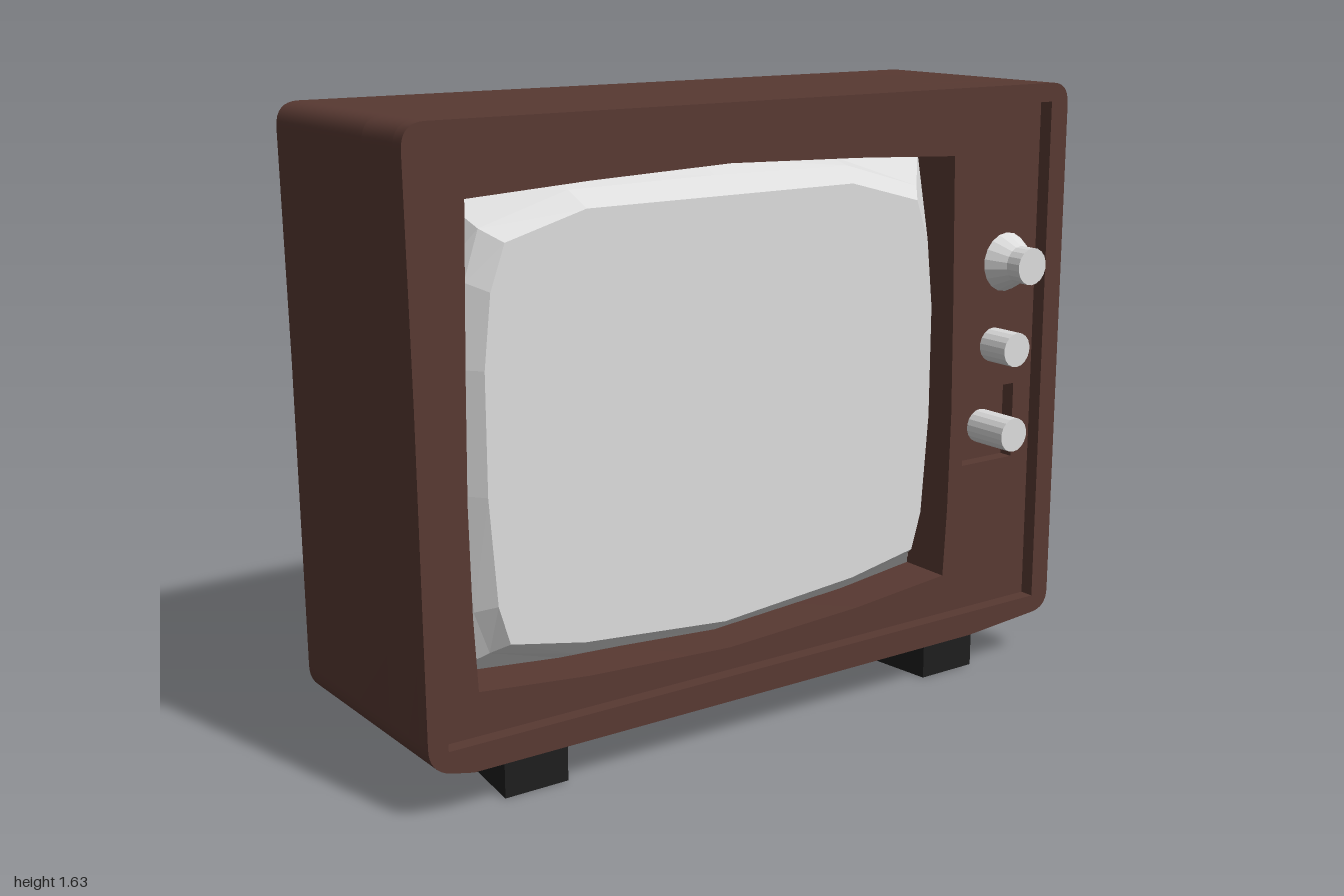
import * as THREE from 'three';
import { toCreasedNormals } from 'three/addons/utils/BufferGeometryUtils.js';

const wood = new THREE.MeshStandardMaterial({ color: 0x583932 });
wood.name = 'brown wood';
const grey = new THREE.MeshStandardMaterial({ color: 0xdcdcdc });
grey.name = 'light grey';
const black = new THREE.MeshStandardMaterial({ color: 0x1e1e1e });
black.name = 'black';

const SCREEN_X = -0.1;

// Right half of a tube cross-section, mirrored into a full clockwise ring
function ring(half) {
  const left = half.slice(1, -1).reverse().map(([u, y]) => [-u, y]);
  return [...half, ...left].map(([u, y]) => new THREE.Vector2(SCREEN_X + u, y));
}
const outerRing = ring([[0, 1.48], [0.4, 1.467], [0.73, 1.45], [0.735, 1.25], [0.74, 1.05],
  [0.745, 0.75], [0.74, 0.48], [0.73, 0.29], [0.42, 0.26], [0, 0.24]]);
const midRing = ring([[0, 1.445], [0.42, 1.44], [0.66, 1.37], [0.7, 1.25], [0.72, 1.05],
  [0.72, 0.75], [0.7, 0.46], [0.66, 0.35], [0.42, 0.295], [0, 0.268]]);
const frontRing = ring([[0, 1.4], [0.4, 1.4], [0.62, 1.34], [0.66, 1.23], [0.68, 1.05],
  [0.68, 0.75], [0.66, 0.48], [0.63, 0.38], [0.42, 0.34], [0, 0.305]]);

const polygon = (pts) => pts.map(([x, y]) => new THREE.Vector2(x, y));
const panelHole = polygon([[-0.945, 1.58], [0.94, 1.58], [0.94, 0.18], [-0.935, 0.18], [-0.94, 0.5]]);
const pocketHole = polygon([[0.69, 0.805], [0.875, 0.805], [0.875, 0.595], [0.69, 0.595]]);

// Rounded, slightly irregular cabinet outline; holes wind against it
function cabinetShape(holes) {
  const s = new THREE.Shape();
  s.moveTo(-0.94, 1.63);
  s.lineTo(0.94, 1.63);
  s.quadraticCurveTo(1, 1.63, 1, 1.57);
  s.lineTo(1, 0.19);
  s.quadraticCurveTo(1, 0.133, 0.94, 0.13);
  s.lineTo(0.7, 0.112);
  s.lineTo(-0.87, 0.112);
  s.lineTo(-0.93, 0.125);
  s.quadraticCurveTo(-0.988, 0.14, -0.988, 0.2);
  s.lineTo(-0.992, 1);
  s.lineTo(-1, 1.57);
  s.quadraticCurveTo(-1, 1.63, -0.94, 1.63);
  holes.forEach((h) => s.holes.push(new THREE.Path([...h].reverse())));
  return s;
}

function addMesh(parent, name, geometry, material) {
  const mesh = new THREE.Mesh(geometry, material);
  mesh.name = name;
  parent.add(mesh);
  return mesh;
}

// One slice of the cabinet between two depths
function addSlice(parent, name, z0, z1, holes) {
  const geo = new THREE.ExtrudeGeometry(cabinetShape(holes),
    { depth: z1 - z0, bevelEnabled: false, curveSegments: 8 });
  geo.translate(0, 0, z0);
  addMesh(parent, name, toCreasedNormals(geo, 0.5), wood);
}

// Bulging picture tube: faceted loft closed by a flat front
function tubeGeometry(layers) {
  const pos = [];
  const put = (p, z) => pos.push(p.x, p.y, z);
  const n = layers[0].pts.length;
  for (let k = 0; k < layers.length - 1; k++) {
    const a = layers[k], b = layers[k + 1];
    for (let i = 0; i < n; i++) {
      const j = (i + 1) % n;
      put(a.pts[i], a.z); put(b.pts[i], b.z); put(b.pts[j], b.z);
      put(a.pts[i], a.z); put(b.pts[j], b.z); put(a.pts[j], a.z);
    }
  }
  const last = layers[layers.length - 1];
  const centre = new THREE.Vector2(SCREEN_X, 0.87);
  for (let i = 0; i < n; i++) {
    put(centre, last.z); put(last.pts[(i + 1) % n], last.z); put(last.pts[i], last.z);
  }
  const geo = new THREE.BufferGeometry();
  geo.setAttribute('position', new THREE.Float32BufferAttribute(pos, 3));
  geo.computeVertexNormals();
  return geo;
}

// Faceted round section along z
function addRound(parent, name, x, y, z0, z1, rBack, rFront) {
  const geo = new THREE.CylinderGeometry(rFront, rBack, z1 - z0, 18);
  geo.rotateX(Math.PI / 2);
  addMesh(parent, name, toCreasedNormals(geo, 0.1), grey).position.set(x, y, (z0 + z1) / 2);
}

export function createModel() {
  const model = new THREE.Group();
  model.name = 'television';

  // Cabinet, built from back to front
  const cabinet = new THREE.Group();
  cabinet.name = 'cabinet';
  model.add(cabinet);
  addSlice(cabinet, 'cabinetBody', -0.37, 0.09, []);
  addSlice(cabinet, 'frontPanel', 0.09, 0.24, [outerRing, pocketHole]);
  addSlice(cabinet, 'frontRim', 0.24, 0.28, [panelHole]);
  addMesh(cabinet, 'pocketFloor', new THREE.BoxGeometry(0.185, 0.21, 0.11), wood)
    .position.set(0.7825, 0.7, 0.145);

  // Screen
  addMesh(model, 'screen', tubeGeometry([
    { pts: outerRing, z: 0.092 }, { pts: midRing, z: 0.17 }, { pts: frontRing, z: 0.22 },
  ]), grey);

  // Knobs on short shafts
  const tuner = new THREE.Group();
  tuner.name = 'tuningKnob';
  model.add(tuner);
  addRound(tuner, 'knobShaft', 0.795, 1.158, 0.235, 0.275, 0.045, 0.045);
  addRound(tuner, 'knobCone', 0.795, 1.158, 0.275, 0.33, 0.08, 0.05);
  addRound(tuner, 'knobCap', 0.795, 1.158, 0.33, 0.375, 0.05, 0.05);
  addRound(model, 'upperKnob', 0.79, 0.925, 0.235, 0.335, 0.047, 0.047);
  addRound(model, 'lowerKnob', 0.79, 0.688, 0.2, 0.335, 0.047, 0.047);

  // Feet, splayed outwards at the front
  for (const side of [-1, 1]) {
    const plan = new THREE.Shape(polygon([[0.58, -0.235], [0.757, -0.235], [0.69, 0.33], [0.513, 0.33]]
      .map(([x, y]) => [side * x, y])));
    const geo = new THREE.ExtrudeGeometry(plan, { depth: 0.12, bevelEnabled: false });
    geo.rotateX(-Math.PI / 2);
    addMesh(model, side < 0 ? 'rightFoot' : 'leftFoot', geo, black).position.x = -0.007;
  }
  return model;
}
